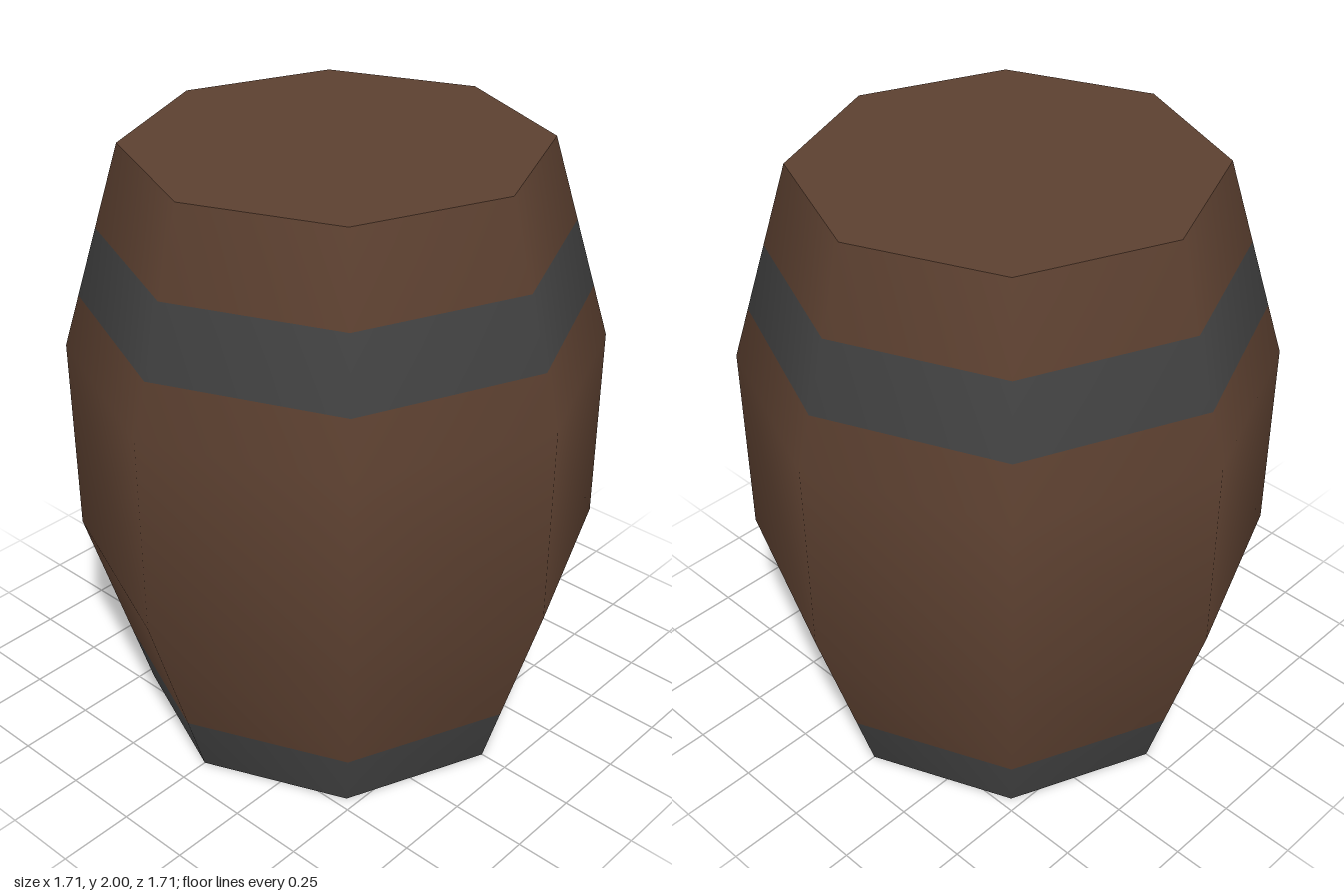
import * as THREE from 'three';

const SIDES = 8;
// Barrel rings: height, radius, upward tilt of the smooth normal
const RINGS = [
  [0, 0.655, -0.287],
  [0.667, 0.857, -0.145],
  [1.333, 0.857, 0.145],
  [2, 0.655, 0.287],
];

// Radius and normal tilt of the barrel wall at any height
function wallAt(y) {
  let i = 0;
  while (i < RINGS.length - 2 && y > RINGS[i + 1][0]) i++;
  const [a, b] = [RINGS[i], RINGS[i + 1]];
  const t = (y - a[0]) / (b[0] - a[0]);
  return { radius: a[1] + (b[1] - a[1]) * t, tilt: a[2] + (b[2] - a[2]) * t };
}

// One horizontal section of the wall, shaded smoothly with its neighbours
function wallGeometry(y0, y1) {
  const heights = [y0, ...RINGS.map((r) => r[0]).filter((y) => y > y0 && y < y1), y1];
  const geometry = new THREE.LatheGeometry(
    heights.map((y) => new THREE.Vector2(wallAt(y).radius, y)), SIDES);
  const { position, normal } = geometry.attributes;
  for (let i = 0; i < position.count; i++) {
    const { radius, tilt } = wallAt(position.getY(i));
    const out = Math.sqrt(1 - tilt * tilt) / radius;
    normal.setXYZ(i, position.getX(i) * out, tilt, position.getZ(i) * out);
  }
  return geometry;
}

export function createModel() {
  const barrel = new THREE.Group();
  barrel.name = 'barrel';
  const wood = new THREE.MeshStandardMaterial({ color: 0x5c4030 });
  wood.name = 'brown wood';
  const iron = new THREE.MeshStandardMaterial({ color: 0x424242 });
  iron.name = 'dark iron';

  const add = (name, geometry, material) => {
    const mesh = new THREE.Mesh(geometry, material);
    mesh.name = name;
    barrel.add(mesh);
    return mesh;
  };

  // Wall sections, from the ground up
  add('lowerBand', wallGeometry(0, 0.21), iron);
  add('staves', wallGeometry(0.21, 1.505), wood);
  add('upperBand', wallGeometry(1.505, 1.73), iron);
  add('upperStaves', wallGeometry(1.73, 2), wood);

  // Flat ends
  const end = new THREE.CircleGeometry(RINGS[0][1], SIDES);
  const lid = add('lid', end, wood);
  lid.rotation.x = -Math.PI / 2;
  lid.position.y = 2;
  const base = add('base', end, wood);
  base.rotation.x = Math.PI / 2;

  return barrel;
}
